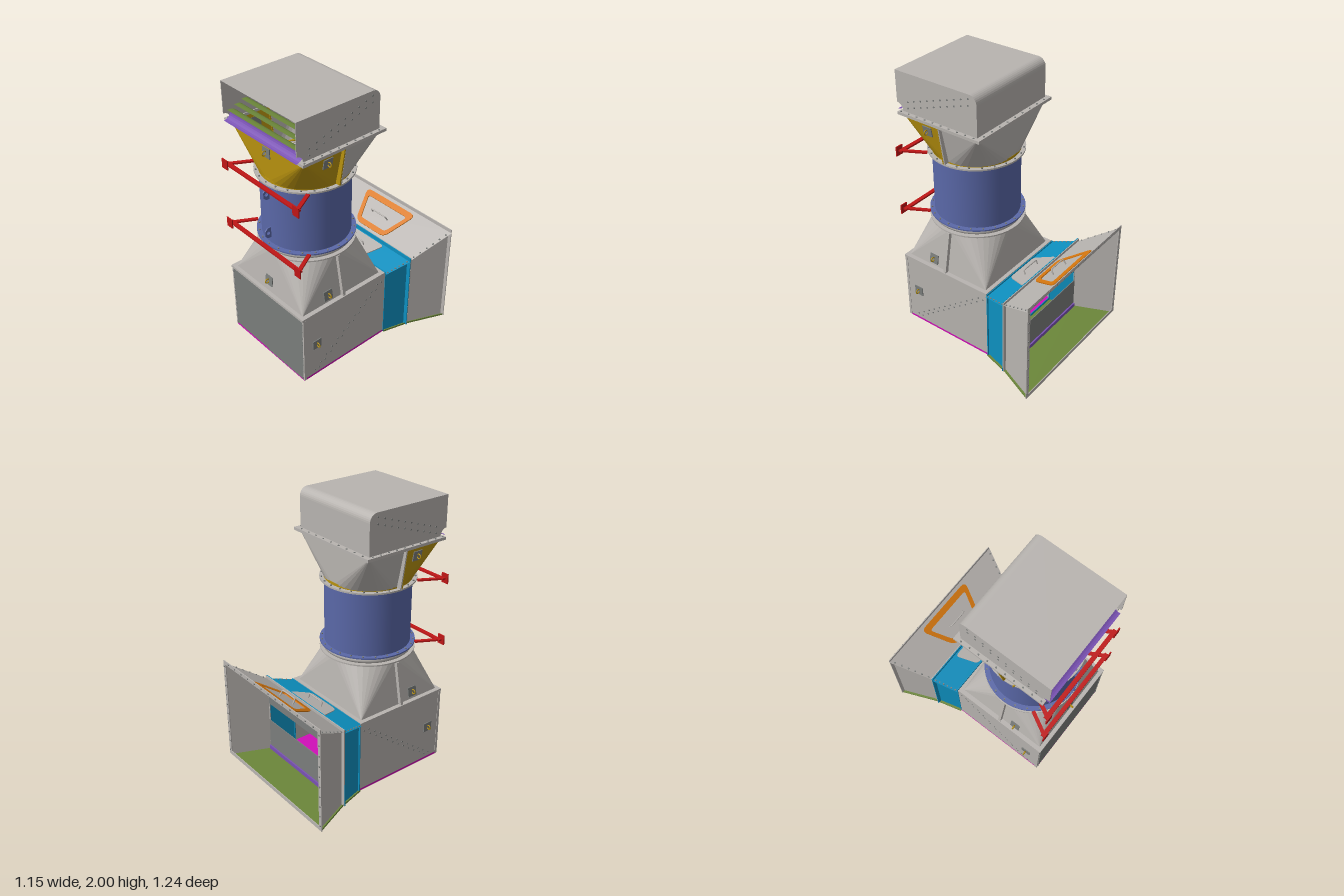
import * as THREE from 'three';
import { mergeGeometries } from 'three/addons/utils/BufferGeometryUtils.js';

const mat = (name, color) => new THREE.MeshStandardMaterial({ name, color, side: THREE.DoubleSide });
const M = {
  grey: mat('light grey', 0xb8b4b0), dark: mat('dark grey', 0x7b7e7c), steel: mat('steel blue', 0x5a68a8),
  yellow: mat('mustard', 0xb8920e), cyan: mat('cyan blue', 0x0d90c0), green: mat('olive green', 0x6c873a),
  magenta: mat('magenta', 0xd010b8), red: mat('red', 0xc01616), orange: mat('orange', 0xd8780f), purple: mat('purple', 0x7a52b4),
};
const ZC = 0.235; // z of the vertical tower axis

export function createModel() {
  const root = new THREE.Group();
  const add = (name, geo, m, x = 0, y = 0, z = 0, parent = root) => {
    const mesh = new THREE.Mesh(geo, m);
    mesh.name = name;
    mesh.position.set(x, y, z);
    parent.add(mesh);
    return mesh;
  };
  const box = (name, m, w, h, d, x, y, z) => add(name, new THREE.BoxGeometry(w, h, d), m, x, y, z);
  const triangles = (pos) => {
    const g = new THREE.BufferGeometry();
    g.setAttribute('position', new THREE.Float32BufferAttribute(pos, 3));
    g.computeVertexNormals();
    return g;
  };
  // flat four-cornered sheet
  const sheet = (name, m, a, b, c, d) => add(name, triangles([a, b, c, a, c, d].flat()), m);
  // bent sheet: a [z, y] profile swept across x
  const bent = (pts, hw) => {
    const pos = [];
    for (let i = 0; i + 1 < pts.length; i++) {
      const [z0, y0] = pts[i], [z1, y1] = pts[i + 1];
      pos.push(-hw, y0, z0, hw, y0, z0, hw, y1, z1, -hw, y0, z0, hw, y1, z1, -hw, y1, z1);
    }
    return triangles(pos);
  };
  const arc = (cz, cy, r, a0, a1, n = 8) => Array.from({ length: n + 1 }, (_, i) => {
    const a = a0 + (a1 - a0) * i / n;
    return [cz + r * Math.cos(a), cy + r * Math.sin(a)];
  });
  const polygon = (P, pts) => new P(pts.map(([x, y]) => new THREE.Vector2(x, y)));
  const extrude = (shape, depth) => new THREE.ExtrudeGeometry(shape, { depth, bevelEnabled: false, curveSegments: 6 });
  const rect = (P, x0, y0, x1, y1) => polygon(P, [[x0, y0], [x1, y0], [x1, y1], [x0, y1]]);
  const frame = (hx, y0, y1, t, depth) => {
    const s = rect(THREE.Shape, -hx, y0, hx, y1);
    s.holes.push(rect(THREE.Path, -hx + t, y0 + t, hx - t, y1 - t));
    return extrude(s, depth);
  };
  const flatFrame = (name, m, hx, hz, t, y, h) => add(name, frame(hx, -hz, hz, t, h).rotateX(-Math.PI / 2), m, 0, y, ZC);
  // rows of small bolt heads, axis 'x', 'y' or 'z'
  const bolts = (name, m, axis, pts) => add(name, mergeGeometries(pts.map((p) => {
    const g = new THREE.CylinderGeometry(0.006, 0.006, 0.008, 8);
    if (axis === 'x') g.rotateZ(Math.PI / 2);
    if (axis === 'z') g.rotateX(Math.PI / 2);
    return g.translate(...p);
  })), m);
  const row = (n, f) => Array.from({ length: n }, (_, i) => f(i / (n - 1)));
  const sides = [-1, 1];

  // one half of a square-to-round transition: a cone and two flat triangles per corner
  const transition = (hx, hz, yRect, r, yRound, sz) => {
    const pos = [], n = 10;
    const tri = (a, b, c) => {
      const v = [a, b, c].map((p) => new THREE.Vector3(...p));
      const nrm = v[1].clone().sub(v[0]).cross(v[2].clone().sub(v[0]));
      const mid = v[0].clone().add(v[1]).add(v[2]);
      pos.push(...a, ...(nrm.x * mid.x + nrm.z * mid.z > 0 ? [...b, ...c] : [...c, ...b]));
    };
    for (const sx of sides) {
      const corner = [sx * hx, yRect, sz * hz];
      const p = (i) => [sx * r * Math.cos(i / n * Math.PI / 2), yRound, sz * r * Math.sin(i / n * Math.PI / 2)];
      for (let i = 0; i < n; i++) tri(corner, p(i), p(i + 1));
      tri([sx * hx, yRect, 0], corner, p(0));
      tri([0, yRect, sz * hz], corner, p(n));
    }
    return triangles(pos);
  };
  add('upperTransitionFront', transition(0.365, 0.305, 1.71, 0.303, 1.42, 1), M.yellow, 0, 0, ZC);
  add('upperTransitionBack', transition(0.365, 0.305, 1.71, 0.303, 1.42, -1), M.grey, 0, 0, ZC);
  for (const s of sides) add('lowerTransition', transition(0.36, 0.347, 0.555, 0.3, 0.885, s), M.grey, 0, 0, ZC);

  // seam flanges on both sides of the transitions
  for (const s of sides) {
    const up = polygon(THREE.Shape, [[s * 0.3, 1.425], [s * 0.34, 1.425], [s * 0.387, 1.71], [s * 0.36, 1.71]]);
    add('upperSeamFront', extrude(up, 0.01), M.yellow, 0, 0, ZC);
    add('upperSeamBack', extrude(up, 0.01), M.grey, 0, 0, ZC - 0.011);
    const low = polygon(THREE.Shape, [[s * 0.3, 0.88], [s * 0.33, 0.87], [s * 0.387, 0.56], [s * 0.355, 0.56]]);
    add('lowerSeam', extrude(low, 0.02), M.grey, 0, 0, ZC - 0.01);
  }

  // round duct with its collars
  const ring = (name, m, r, h, y, inner = 0.29) => {
    const pts = [[inner, -h / 2], [r, -h / 2], [r, -h / 2], [r, h / 2], [r, h / 2], [inner, h / 2]];
    add(name, new THREE.LatheGeometry(pts.map((p) => new THREE.Vector2(...p)), 48), m, 0, y, ZC);
  };
  add('roundDuct', new THREE.CylinderGeometry(0.303, 0.303, 0.48, 48, 1, true), M.steel, 0, 1.175, ZC);
  ring('topRingFlange', M.grey, 0.335, 0.012, 1.415);
  ring('topRingBand', M.yellow, 0.306, 0.02, 1.43);
  ring('ductFoot', M.steel, 0.337, 0.01, 0.94);
  ring('collarFlange', M.grey, 0.337, 0.01, 0.887);
  ring('collarBand', M.grey, 0.3, 0.05, 0.912);
  add('collarBulge', new THREE.TorusGeometry(0.295, 0.024, 10, 48).rotateX(Math.PI / 2), M.grey, 0, 0.913, ZC);
  bolts('ringBolts', M.dark, 'y', [0.948, 1.424].flatMap((y) => row(25, (t) =>
    [0.322 * Math.cos(t * 2 * Math.PI), y, ZC + 0.322 * Math.sin(t * 2 * Math.PI)])));

  // lifting lugs on the front of the duct
  for (const y of [1.03, 1.33]) {
    const lug = polygon(THREE.Shape, [[0, -0.04], [0.03, -0.04], [0.052, -0.018], [0.052, 0.018], [0.03, 0.04], [0, 0.04]]);
    lug.holes.push(new THREE.Path().absarc(0.028, 0, 0.013, 0, Math.PI * 2, true));
    add('liftingLug', extrude(lug, 0.008).rotateY(-Math.PI / 2), M.steel, 0.004, y, 0.533);
  }

  // wall brackets
  for (const y of [0.945, 1.41]) {
    box('bracketBar', M.red, 0.74, 0.012, 0.03, 0, y, 0.595);
    for (const s of sides) {
      box('bracketPlate', M.red, 0.058, 0.07, 0.008, s * 0.36, y, 0.612);
      const strut = box('bracketStrut', M.red, 0.025, 0.012, 0.19, s * 0.315, y, 0.525);
      strut.rotation.y = s * 0.5;
    }
  }

  // outlet hood
  box('hoodFlange', M.grey, 0.77, 0.02, 0.02, 0, 1.714, -0.09);
  flatFrame('hoodFlangeFrame', M.grey, 0.388, 0.335, 0.04, 1.704, 0.02);
  add('hoodTopAndBack', bent([[0.595, 2], ...arc(-0.005, 1.94, 0.06, Math.PI / 2, Math.PI), [-0.065, 1.72]], 0.36), M.grey);
  const cheek = polygon(THREE.Shape, [...arc(0.595, 1.725, 0.05, Math.PI, Math.PI / 2, 6), [0.595, 2],
    ...arc(-0.005, 1.94, 0.06, Math.PI / 2, Math.PI), [-0.065, 1.72]]);
  for (const s of sides) add('hoodSide', extrude(cheek, 0.005).rotateY(-Math.PI / 2), M.grey, s * 0.3575 + 0.0025);
  add('hoodSill', bent([...arc(0.595, 1.775, 0.05, -Math.PI / 2, -Math.PI, 6), [0.535, 1.78]], 0.355), M.purple);

  // curved turning vanes, stepped along a diagonal
  const vane = (hw) => bent([...arc(0.05, -0.05, 0.05, Math.PI, Math.PI / 2, 6), [0.075, 0]], hw);
  for (let i = 0; i < 10; i++) {
    const t = i / 9;
    add('hoodVane', vane(0.354), M.green, 0, 1.79 + 0.185 * t, 0.49 - 0.5 * t);
    add('boxVane', vane(0.383).rotateX(Math.PI), M.green, 0, 0.05 + 0.44 * t, 0.51 - 0.58 * t);
  }
  for (const s of sides) {
    bolts('hoodSideRivets', M.dark, 'x', [0, 0.045].flatMap((d) => row(10, (t) => [s * 0.359, 1.755 + d + 0.17 * t, 0.5 - 0.5 * t])));
    bolts('boxSideRivets', M.dark, 'x', [0, 0.04].flatMap((d) => row(12, (t) => [s * 0.389, 0.05 + 0.44 * t, 0.51 - d - 0.58 * t])));
    bolts('hoodFlangeBolts', M.dark, 'y', row(10, (t) => [s * 0.375, 1.724, -0.05 + 0.6 * t]));
    bolts('frontPanelBolts', M.dark, 'z', row(9, (t) => [s * 0.377, 0.03 + 0.48 * t, 0.604]));
  }
  bolts('hoodFlangeBackBolts', M.dark, 'y', row(9, (t) => [-0.32 + 0.64 * t, 1.724, -0.085]));

  // base box
  box('frontPanel', M.dark, 0.775, 0.535, 0.01, 0, 0.275, 0.598);
  box('boxFloor', M.magenta, 0.78, 0.016, 0.75, 0, 0.008, 0.228);
  flatFrame('boxTopFrame', M.grey, 0.392, 0.375, 0.035, 0.54, 0.018);
  for (const s of sides) {
    box('boxSide', M.grey, 0.006, 0.53, 0.745, s * 0.387, 0.281, 0.225);
    box('boxCornerStrip', M.grey, 0.012, 0.54, 0.02, s * 0.387, 0.275, 0.594);
  }

  // inlet duct: connecting section, flared mouth, green floor
  const flare = (name, m, z0, w0, h0, z1, w1, h1) => {
    for (const s of sides) {
      sheet(name + 'Side', m, [s * w0, 0, z0], [s * w0, h0, z0], [s * w1, h1, z1], [s * w1, 0, z1]);
      sheet(name + 'EdgeStrip', m, [s * w0, h0, z0], [s * (w0 + 0.025), h0, z0], [s * (w1 + 0.03), h1, z1], [s * w1, h1, z1]);
      bolts(name + 'EdgeBolts', M.dark, 'y', row(6, (t) => {
        const k = 0.1 + 0.8 * t;
        return [s * (w0 + 0.014 + (w1 - w0) * k), h0 + (h1 - h0) * k, z0 + (z1 - z0) * k];
      }));
    }
    sheet(name + 'Top', m, [-w0, h0, z0], [w0, h0, z0], [w1, h1, z1], [-w1, h1, z1]);
    const f = 0.02;
    sheet(name + 'Floor', M.green, [-w0 - f, 0.001, z0], [-w1 - f, 0.001, z1], [w1 + f, 0.001, z1], [w0 + f, 0.001, z0]);
    for (const s of sides) sheet(name + 'FloorLip', M.green, [s * (w0 + f), 0, z0], [s * (w1 + f), 0, z1], [s * (w1 + f), 0.014, z1], [s * (w0 + f), 0.014, z0]);
  };
  flare('connector', M.cyan, -0.145, 0.38, 0.545, -0.33, 0.43, 0.595);
  flare('mouth', M.grey, -0.335, 0.43, 0.6, -0.61, 0.545, 0.77);
  add('connectorFrontFlange', frame(0.394, 0, 0.558, 0.02, 0.006), M.cyan, 0, 0, -0.151);
  add('connectorBackFlange', frame(0.458, 0, 0.622, 0.035, 0.006), M.cyan, 0, 0, -0.331);
  add('mouthFrontFlange', frame(0.458, 0, 0.622, 0.035, 0.006), M.grey, 0, 0, -0.338);
  add('mouthBackFlange', frame(0.57, 0, 0.795, 0.028, 0.006), M.grey, 0, 0, -0.615);
  for (const s of sides) bolts('mouthFlangeBolts', M.dark, 'z', row(10, (t) => [s * 0.557, 0.04 + 0.71 * t, -0.615]));
  bolts('mouthTopBolts', M.dark, 'z', row(13, (t) => [-0.5 + t, 0.783, -0.615]));

  // baffle with a slot across the throat
  box('baffleUpper', M.dark, 0.84, 0.19, 0.006, 0, 0.5, -0.342);
  box('baffleLower', M.dark, 0.84, 0.26, 0.006, 0, 0.13, -0.342);
  box('baffleSill', M.purple, 0.84, 0.03, 0.012, 0, 0.025, -0.35);

  // rounded trapezoid outlines for the access hatches
  const trapezoid = (P, wTop, wLow, yTop, yLow, r) => {
    const c = [[-wLow, yLow], [wLow, yLow], [wTop, yTop], [-wTop, yTop]].map((p) => new THREE.Vector2(...p));
    const p = new P();
    c.forEach((v, i) => {
      const toward = (o) => v.clone().add(o.clone().sub(v).setLength(r));
      const a = toward(c[(i + 3) % 4]), b = toward(c[(i + 1) % 4]);
      if (i) p.lineTo(a.x, a.y); else p.moveTo(a.x, a.y);
      p.quadraticCurveTo(v.x, v.y, b.x, b.y);
    });
    p.closePath();
    return p;
  };
  const hatch = (name, y, z, tilt, shape, m) => {
    const g = new THREE.Group();
    g.name = name;
    g.position.set(0, y, z);
    g.rotation.x = tilt;
    root.add(g);
    add(name + 'Plate', extrude(shape, 0.007).rotateX(-Math.PI / 2), m, 0, 0.001, 0, g);
    const path = new THREE.CatmullRomCurve3([[-0.075, 0], [-0.068, 0.04], [0.068, 0.04], [0.075, 0]]
      .map(([x, h]) => new THREE.Vector3(x, h, 0)), false, 'catmullrom', 0.15);
    add(name + 'Handle', new THREE.TubeGeometry(path, 24, 0.005, 8), M.grey, 0, 0, 0, g);
  };
  const ringShape = trapezoid(THREE.Shape, 0.25, 0.145, 0.135, -0.125, 0.05);
  ringShape.holes.push(trapezoid(THREE.Path, 0.2, 0.125, 0.09, -0.085, 0.025));
  hatch('mouthHatch', 0.685, -0.4725, Math.atan2(0.17, 0.275), ringShape, M.orange);
  hatch('connectorHatch', 0.57, -0.2375, Math.atan2(0.05, 0.185), trapezoid(THREE.Shape, 0.205, 0.14, 0.08, -0.08, 0.03), M.grey);

  // small inspection plates, each with a ring pull
  const plate = (x, y, z, ry, rx) => {
    const g = new THREE.Group();
    g.name = 'inspectionPlate';
    g.position.set(x, y, z);
    g.rotation.set(rx, ry, 0, 'YXZ');
    root.add(g);
    add('plateBack', new THREE.BoxGeometry(0.072, 0.07, 0.008), M.dark, 0, 0, 0, g);
    add('ringPull', new THREE.TorusGeometry(0.016, 0.004, 8, 16).rotateY(Math.PI / 2), M.yellow, 0, 0, 0.016, g);
  };
  plate(0, 1.63, 0.542, 0, 0);
  plate(0, 0.64, 0.573, 0, -0.14);
  for (const s of sides) {
    plate(s * 0.352, 1.635, 0.35, s * Math.PI / 2, 0.18);
    plate(s * 0.355, 0.612, 0.355, s * Math.PI / 2, -0.17);
    plate(s * 0.392, 0.28, 0.49, s * Math.PI / 2, 0);
  }
  return root;
}
